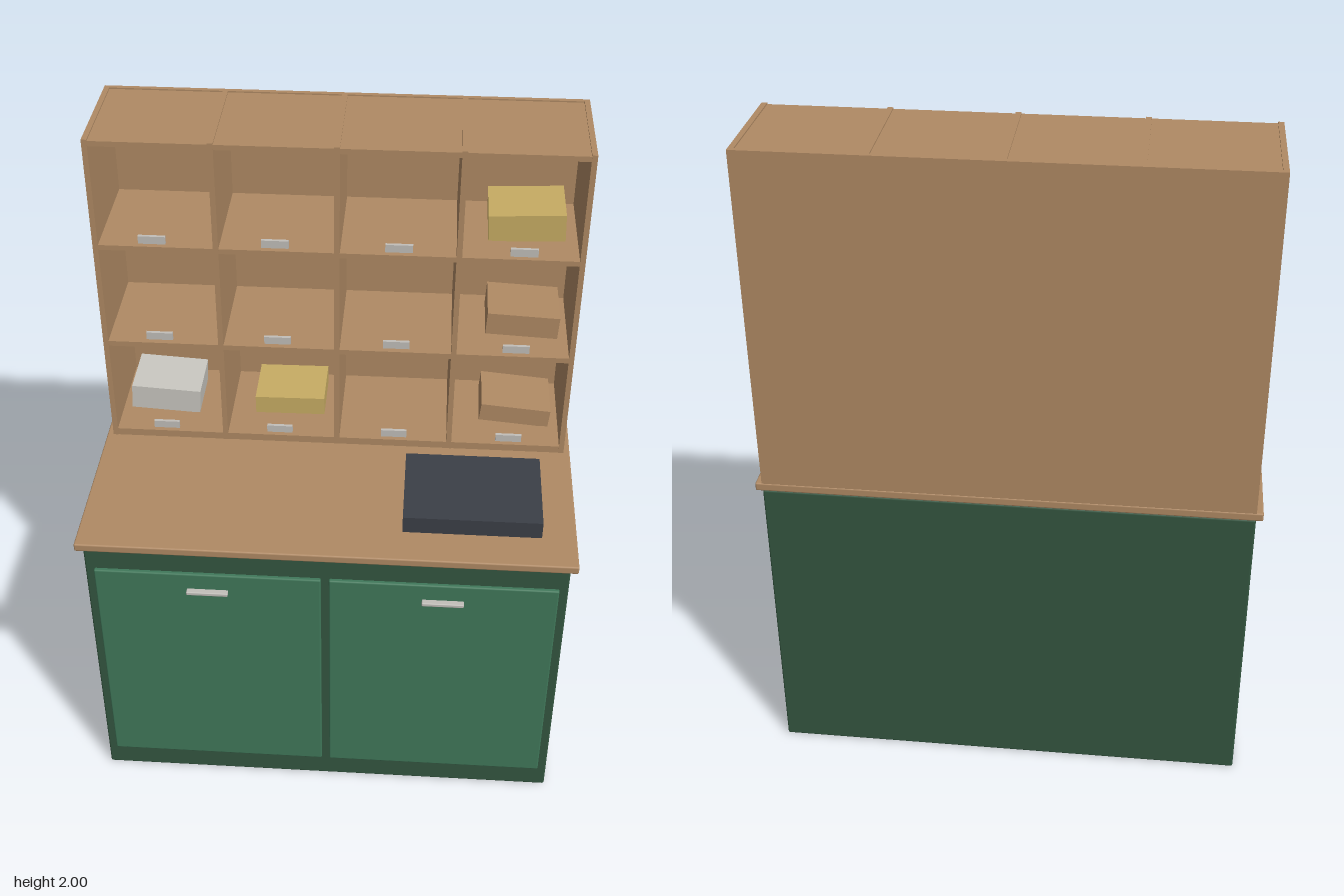
import * as THREE from 'three';
import { RoundedBoxGeometry } from 'three/addons/geometries/RoundedBoxGeometry.js';

const mat = (name, color) => {
  const m = new THREE.MeshStandardMaterial({ color });
  m.name = name;
  return m;
};

export function createModel() {
  const wood = mat('wood', 0xb08a64);
  const darkGreen = mat('dark green paint', 0x345640);
  const green = mat('green paint', 0x40785a);
  const slate = mat('slate', 0x3b3f47);
  const paper = mat('white paper', 0xc9c7c0);
  const yellow = mat('yellow paper', 0xc8ad64);
  const metal = mat('metal', 0xc2bfba);

  const model = new THREE.Group();
  model.name = 'sortingCabinet';

  // Box given by its limits on each axis; r rounds the edges
  const box = (name, material, [x0, x1], [y0, y1], [z0, z1], r = 0, parent = model) => {
    const size = [x1 - x0, y1 - y0, z1 - z0];
    const geometry = r ? new RoundedBoxGeometry(...size, 2, r) : new THREE.BoxGeometry(...size);
    const mesh = new THREE.Mesh(geometry, material);
    mesh.name = name;
    mesh.position.set((x0 + x1) / 2, (y0 + y1) / 2, (z0 + z1) / 2);
    parent.add(mesh);
    return mesh;
  };

  // Base cabinet with two doors and bar handles
  box('cabinet', darkGreen, [-0.715, 0.715], [0, 0.947], [-0.447, 0.424], 0.006);
  for (const [side, x] of [['right', -0.35], ['left', 0.35]]) {
    box(side + 'Door', green, [x - 0.338, x + 0.338], [0.083, 0.865], [0.415, 0.436], 0.005);
    box(side + 'Handle', metal, [x - 0.062, x + 0.062], [0.798, 0.81], [0.434, 0.454], 0.003);
  }
  box('countertop', wood, [-0.735, 0.735], [0.947, 0.973], [-0.45, 0.447], 0.005);

  // Pigeonhole rack: back, sides, dividers and shelves
  const rack = new THREE.Group();
  rack.name = 'pigeonholeRack';
  model.add(rack);
  const back = -0.45, front = -0.09;
  box('rackBack', wood, [-0.715, 0.715], [0.973, 2], [back, back + 0.015], 0, rack);
  for (let i = 0; i < 5; i++) {
    const x = (i - 2) * 0.3535;
    box('divider', wood, [x - 0.008, x + 0.008], [0.973, 2], [back + 0.015, front], 0, rack);
  }
  for (const [y0, y1] of [[0.973, 0.997], [1.313, 1.33], [1.649, 1.665], [1.98, 1.996]]) {
    for (let i = 0; i < 4; i++) {
      const x = (i - 1.5) * 0.3535;
      box('shelf', wood, [x - 0.169, x + 0.169], [y0, y1], [back + 0.015, front - 0.001], 0, rack);
    }
  }

  // Small label holder at the mouth of each pigeonhole
  for (const y of [1.025, 1.358, 1.69])
    for (let i = 0; i < 4; i++) {
      const x = (i - 1.5) * 0.359;
      box('labelHolder', metal, [x - 0.04, x + 0.04], [y - 0.012, y + 0.012], [-0.095, -0.085], 0, rack);
    }

  // Parcels and paper stacks, each slightly tilted
  const parcels = [
    ['paperStack', paper, -0.557, 1.043, 0.22, 0.082, -0.06],
    ['yellowStack', yellow, -0.157, 1.038, 0.22, 0.06, 0.01],
    ['yellowParcel', yellow, 0.548, 1.708, 0.225, 0.084, 0.045],
    ['brownParcel', wood, 0.56, 1.372, 0.22, 0.072, -0.05],
    ['brownStack', wood, 0.56, 1.034, 0.22, 0.06, -0.09],
  ];
  for (const [name, material, x, y, w, h, tilt] of parcels) {
    const p = box(name, material, [x - w / 2, x + w / 2], [y - h / 2, y + h / 2], [-0.38, -0.195]);
    p.rotation.z = tilt;
  }

  // Dark slab resting on the counter
  box('slab', slate, [0.222, 0.632], [0.973, 1.028], [0.016, 0.324]);

  return model;
}
